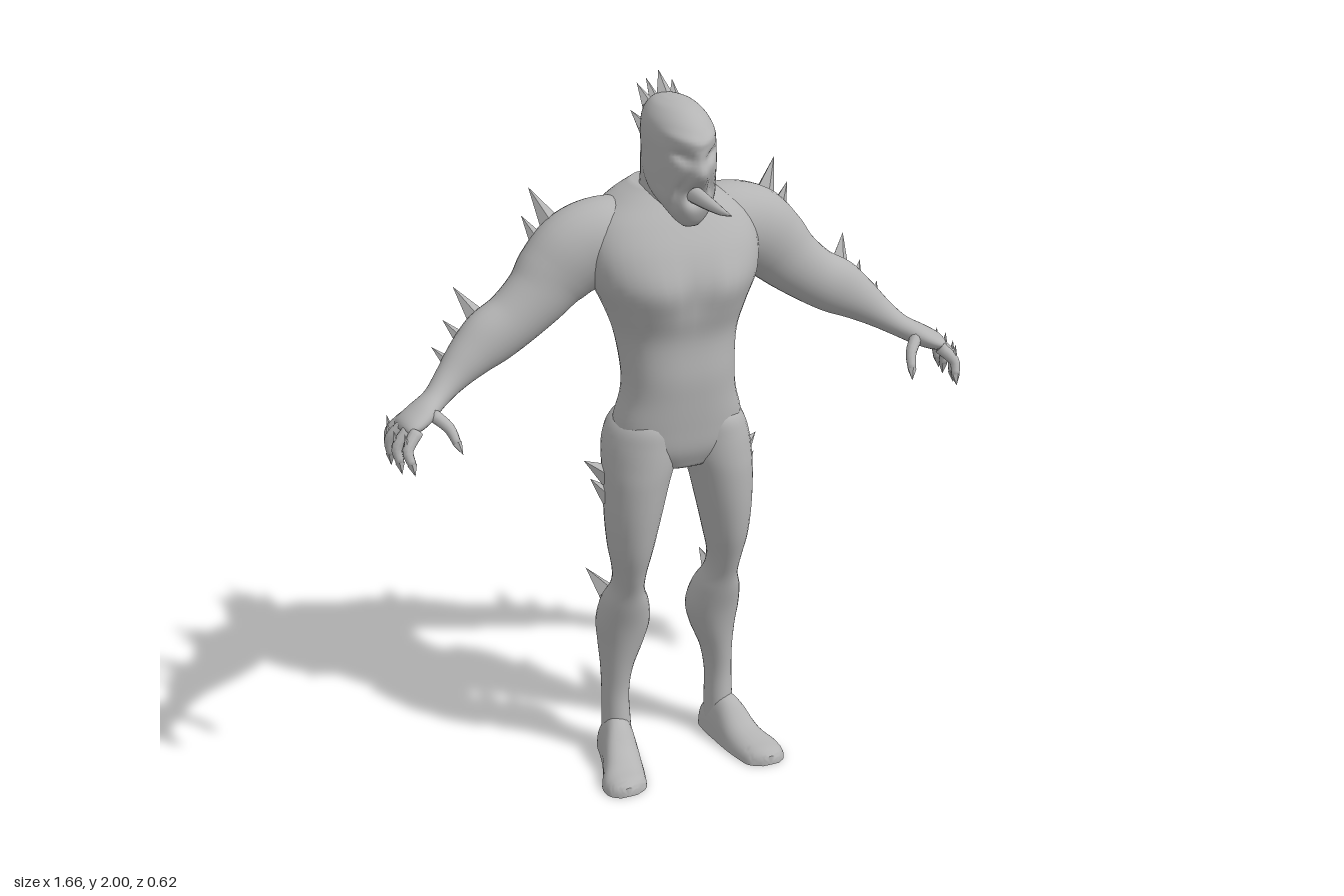
import * as THREE from 'three';
import { toCreasedNormals } from 'three/addons/utils/BufferGeometryUtils.js';

const skin = new THREE.MeshStandardMaterial({ color: 0xb4b4b4 });
skin.name = 'grey skin';

const V = (x, y, z) => new THREE.Vector3(x, y, z);
const bump = (d) => Math.exp(-d * d);
const power = (v, p) => Math.sign(v) * Math.abs(v) ** p;

// Smooth skin through rings [x, y, z, a, b]; b lies along ref, a across it.
function loft(rings, { ref = V(0, 0, 1), dir = null, sides = 28, steps = 5, square = 1, deform = null } = {}) {
  const path = new THREE.CatmullRomCurve3(rings.map((r) => V(r[0], r[1], r[2])), false, 'catmullrom', 0.5);
  const size = new THREE.CatmullRomCurve3(rings.map((r) => V(r[3], r[4], 0)), false, 'catmullrom', 0.5);
  const n = (rings.length - 1) * steps;
  const pos = [], index = [];
  const push = (p) => { if (deform) deform(p); pos.push(p.x, p.y, p.z); };
  for (let i = 0; i <= n; i++) {
    const c = path.getPoint(i / n), s = size.getPoint(i / n);
    const t = dir || path.getTangent(i / n);
    const v = ref.clone().addScaledVector(t, -ref.dot(t)).normalize();
    const u = v.clone().cross(t);
    for (let j = 0; j < sides; j++) {
      const q = (j / sides) * Math.PI * 2;
      push(c.clone().addScaledVector(u, s.x * power(Math.cos(q), square)).addScaledVector(v, s.y * power(Math.sin(q), square)));
      if (i < n) {
        const a = i * sides + j, b = i * sides + (j + 1) % sides;
        index.push(a, b, b + sides, a, b + sides, a + sides);
      }
    }
  }
  const cap = (n + 1) * sides;
  push(path.getPoint(0));
  push(path.getPoint(1));
  for (let j = 0; j < sides; j++) {
    const k = (j + 1) % sides;
    index.push(cap, k, j, cap + 1, n * sides + j, n * sides + k);
  }
  const g = new THREE.BufferGeometry();
  g.setAttribute('position', new THREE.Float32BufferAttribute(pos, 3));
  g.setIndex(index);
  g.computeVertexNormals();
  return g;
}

// Level ring from height, centre x, half width, front z and back z.
const level = (s = 1) => ([y, x, w, f, b]) => [x * s, y, (f + b) / 2, w, (f - b) / 2];
const up = V(0, 1, 0);

// Five-sided faceted thorn from base to tip.
function thorn(base, tip, r) {
  const d = tip.clone().sub(base), len = d.length();
  const g = new THREE.ConeGeometry(r, len, 5).translate(0, len / 2, 0);
  g.applyQuaternion(new THREE.Quaternion().setFromUnitVectors(up, d.normalize()));
  g.translate(base.x, base.y, base.z);
  const flat = g.toNonIndexed();
  flat.computeVertexNormals();
  return flat;
}

export function createModel() {
  const model = new THREE.Group();
  model.name = 'thornedFighter';
  const add = (name, geometry, parent = model) => {
    const m = new THREE.Mesh(geometry, skin);
    m.name = name;
    parent.add(m);
  };

  // Torso with chest, spine groove and narrow waist
  add('torso', loft([
    [0.945, 0, 0.09, 0.035, -0.1], [1.0, 0, 0.17, 0.058, -0.15], [1.07, 0, 0.18, 0.066, -0.165],
    [1.15, 0, 0.16, 0.072, -0.158], [1.22, 0, 0.156, 0.075, -0.165], [1.32, 0, 0.168, 0.07, -0.195],
    [1.4, 0, 0.195, 0.085, -0.225], [1.48, 0, 0.23, 0.093, -0.25], [1.56, 0, 0.24, 0.065, -0.262],
    [1.63, 0, 0.215, 0.02, -0.262], [1.68, 0, 0.15, -0.02, -0.25], [1.715, 0, 0.085, -0.05, -0.225],
  ].map(level()), {
    dir: up, sides: 40, square: 0.85,
    deform: (p) => {
      if (p.z > 0) p.z += 0.012 * bump((p.y - 1.46) / 0.07) * (bump((Math.abs(p.x) - 0.09) / 0.06) - bump(p.x / 0.03));
      if (p.z < -0.1) p.z += 0.022 * bump(p.x / 0.03) * bump((p.y - 1.42) / 0.25);
    },
  }));

  add('neck', loft([
    [1.58, 0, 0.11, 0.0, -0.22], [1.66, 0, 0.09, -0.005, -0.215], [1.72, 0, 0.078, -0.005, -0.188],
    [1.8, 0, 0.078, 0.0, -0.18],
  ].map(level()), { dir: up }));

  // Egg-shaped head with brow, eye sockets, beaked lip and open mouth
  add('head', loft([
    [1.642, 0, 0.022, 0.06, 0.03], [1.66, 0, 0.042, 0.074, 0.0], [1.69, 0, 0.064, 0.088, -0.04],
    [1.72, 0, 0.08, 0.1, -0.12], [1.76, 0, 0.085, 0.11, -0.178], [1.82, 0, 0.086, 0.118, -0.19],
    [1.87, 0, 0.086, 0.112, -0.192], [1.91, 0, 0.078, 0.082, -0.183], [1.94, 0, 0.055, 0.03, -0.16],
    [1.953, 0, 0.028, -0.02, -0.125], [1.957, 0, 0.005, -0.065, -0.08],
  ].map(level()), {
    dir: up, sides: 56, steps: 6,
    deform: (p) => {
      if (p.z < 0) return;
      const x = Math.abs(p.x), k = Math.min(1, p.z / 0.05);
      p.z += k * (0.008 * bump((p.y - 1.875 - x * 0.25) / 0.012)
        - 0.022 * bump((x - 0.04) / 0.022) * bump((p.y - 1.84 - (x - 0.04) * 0.3) / 0.015)
        + 0.014 * bump(x / 0.022) * bump((p.y - 1.795) / 0.025)
        - 0.016 * bump((x - 0.03 - (1.8 - p.y) * 0.25) / 0.01) * bump((p.y - 1.745) / 0.045)
        - 0.045 * bump(x / 0.026) * bump((p.y - 1.733) / 0.028));
    },
  }));

  // Long pointed tongue
  add('tongue', loft([
    [0, 1.73, 0.03, 0.026, 0.024], [0, 1.732, 0.1, 0.022, 0.021], [0, 1.734, 0.17, 0.018, 0.016],
    [0, 1.738, 0.25, 0.01, 0.009], [0, 1.746, 0.31, 0.0005, 0.0005],
  ], { ref: up, sides: 12 }));

  // Thorns on the crown and back of the head
  const headThorns = [
    [0, 1.935, -0.13, 0, 2.0, -0.172, 0.026], [0, 1.89, -0.17, 0, 1.957, -0.26, 0.024],
    [0, 1.835, -0.175, 0, 1.868, -0.232, 0.022],
  ];
  for (const s of [1, -1]) {
    headThorns.push([s * 0.038, 1.915, -0.15, s * 0.05, 1.963, -0.2, 0.02],
      [s * 0.045, 1.85, -0.16, s * 0.06, 1.885, -0.222, 0.02]);
  }
  for (const [a, b, c, d, e, f, r] of headThorns) add('headThorn', thorn(V(a, b, c), V(d, e, f), r));

  for (const s of [1, -1]) {
    const side = new THREE.Group();
    side.name = s > 0 ? 'leftLimbs' : 'rightLimbs';
    model.add(side);
    const flip = (rings) => rings.map(([x, ...rest]) => [x * s, ...rest]);

    // Arm from shoulder to wrist, then the palm
    add('arm', loft(flip([
      [0.08, 1.57, -0.135, 0.1, 0.1], [0.17, 1.57, -0.137, 0.115, 0.108], [0.25, 1.545, -0.138, 0.118, 0.1],
      [0.315, 1.495, -0.137, 0.106, 0.088], [0.37, 1.44, -0.128, 0.09, 0.074], [0.44, 1.385, -0.122, 0.08, 0.068],
      [0.51, 1.345, -0.115, 0.078, 0.064], [0.57, 1.305, -0.102, 0.062, 0.055], [0.63, 1.26, -0.08, 0.043, 0.042],
      [0.68, 1.225, -0.052, 0.032, 0.037], [0.73, 1.2, -0.025, 0.03, 0.052], [0.77, 1.182, -0.006, 0.024, 0.056],
      [0.787, 1.17, 0, 0.012, 0.045],
    ])));

    // Fingers and thumb, each ending in a claw
    const fingers = [
      [0.768, 1.185, -0.048, 0.802, 1.15, -0.062, 0.808, 1.108, -0.058],
      [0.775, 1.182, -0.016, 0.812, 1.145, -0.028, 0.812, 1.1, -0.03],
      [0.772, 1.18, 0.016, 0.808, 1.14, 0.022, 0.806, 1.1, 0.035],
      [0.76, 1.18, 0.04, 0.792, 1.145, 0.066, 0.788, 1.11, 0.085],
      [0.705, 1.205, 0.0, 0.672, 1.175, 0.035, 0.66, 1.14, 0.065],
    ];
    fingers.forEach(([a, b, c, d, e, f, g, h, i], n) => {
      add(n < 4 ? 'finger' : 'thumb', loft(flip([
        [a, b, c, 0.018, 0.018], [d, e, f, 0.015, 0.015], [g, h, i, 0.011, 0.011],
      ]), { sides: 10, steps: 4 }), side);
      const root = V(g * s, h, i), knuckle = V(d * s, e, f);
      add('claw', thorn(root, root.clone().add(root.clone().sub(knuckle).multiplyScalar(n < 4 ? 0.75 : 0.7)), 0.013), side);
      if (n < 4) add('knuckleThorn', thorn(knuckle, knuckle.clone().add(V(s * 0.006, 0.045, -0.006)), 0.011), side);
    });

    // Leg from buttock to ankle
    add('leg', loft([
      [1.11, 0.09, 0.04, 0.03, -0.14], [1.07, 0.098, 0.084, 0.055, -0.178], [1.02, 0.105, 0.1, 0.062, -0.187],
      [0.96, 0.113, 0.1, 0.066, -0.172], [0.9, 0.124, 0.09, 0.066, -0.147], [0.8, 0.136, 0.077, 0.059, -0.14],
      [0.7, 0.143, 0.061, 0.043, -0.13], [0.62, 0.144, 0.045, 0.018, -0.12], [0.56, 0.142, 0.045, -0.003, -0.137],
      [0.5, 0.14, 0.067, -0.02, -0.178], [0.43, 0.138, 0.077, -0.042, -0.2], [0.36, 0.143, 0.065, -0.058, -0.203],
      [0.28, 0.155, 0.046, -0.072, -0.188], [0.2, 0.161, 0.039, -0.08, -0.175], [0.12, 0.161, 0.04, -0.073, -0.176],
      [0.04, 0.161, 0.043, -0.06, -0.178],
    ].reverse().map(level(s)), { dir: up }), side);

    // Flat-soled foot turned outwards
    add('foot', toCreasedNormals(loft(flip([
      [0.16, 0, -0.182, 0.028, 0.06], [0.161, 0, -0.165, 0.045, 0.085], [0.167, 0, -0.11, 0.051, 0.13],
      [0.176, 0, -0.06, 0.054, 0.125], [0.19, 0, 0.0, 0.06, 0.075], [0.209, 0, 0.06, 0.066, 0.053],
      [0.215, 0, 0.105, 0.056, 0.043], [0.22, 0, 0.128, 0.025, 0.028],
    ]), { ref: up, dir: V(0, 0, 1), square: 0.85, deform: (p) => { p.y = Math.max(0, p.y); } }), 0.9), side);

    // Thorns on shoulder, forearm, thigh and calf
    const thorns = {
      shoulderThorn: [[0.3, 1.595, -0.17, 0.355, 1.712, -0.21, 0.038], [0.335, 1.55, -0.16, 0.385, 1.645, -0.185, 0.034]],
      forearmThorn: [[0.525, 1.385, -0.14, 0.572, 1.465, -0.21, 0.032], [0.57, 1.335, -0.125, 0.613, 1.388, -0.18, 0.025],
        [0.615, 1.285, -0.1, 0.655, 1.328, -0.153, 0.022]],
      thighThorn: [[0.195, 0.912, -0.07, 0.257, 0.955, -0.092, 0.034], [0.195, 0.85, -0.065, 0.245, 0.905, -0.078, 0.03]],
      calfThorn: [[0.16, 0.485, -0.165, 0.178, 0.51, -0.31, 0.034], [0.14, 0.395, -0.185, 0.15, 0.412, -0.28, 0.026]],
    };
    for (const [name, list] of Object.entries(thorns)) {
      for (const [a, b, c, d, e, f, r] of list) add(name, thorn(V(a * s, b, c), V(d * s, e, f), r), side);
    }
  }
  return model;
}
